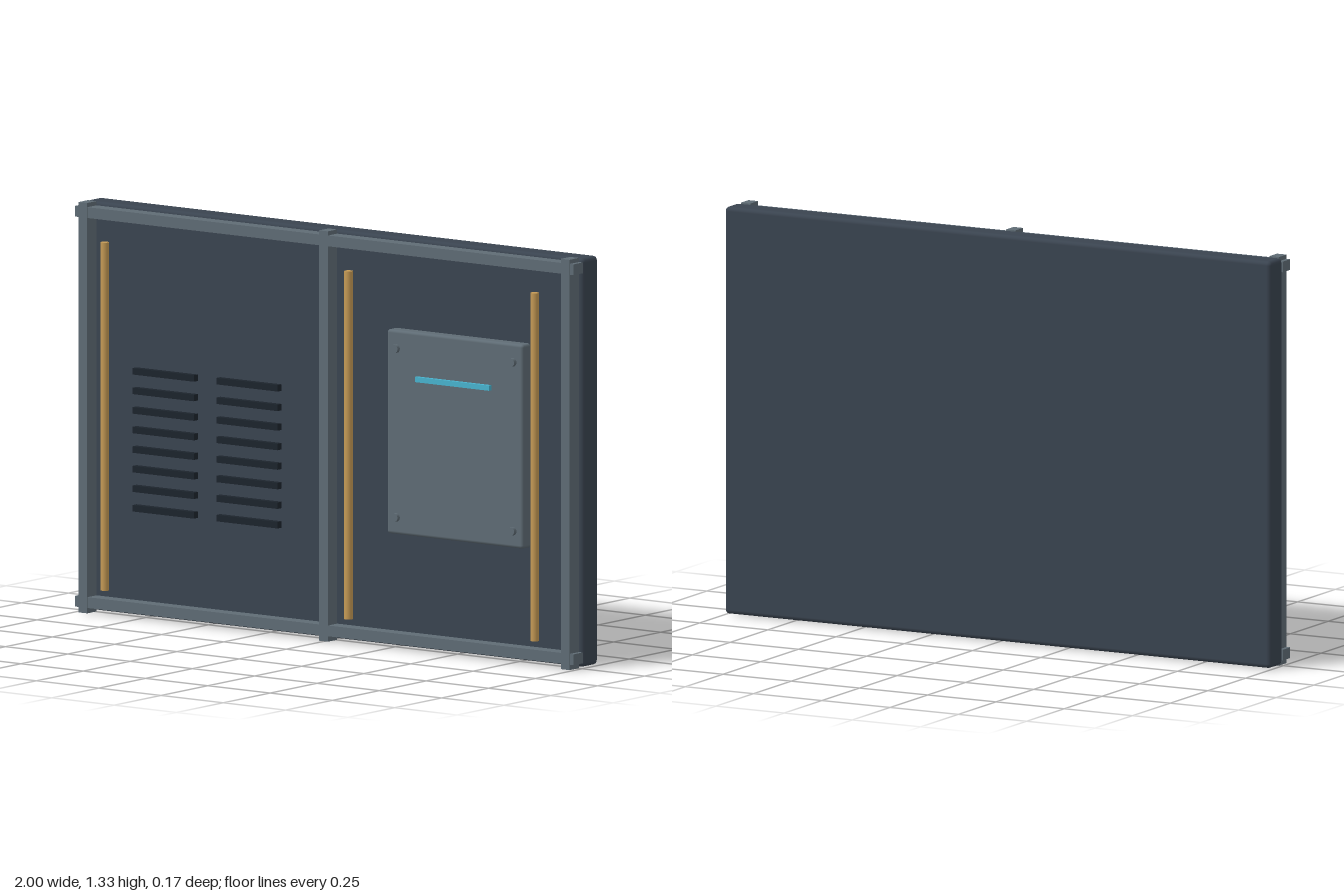
import * as THREE from 'three';
import { RoundedBoxGeometry } from 'three/addons/geometries/RoundedBoxGeometry.js';

const material = (name, color) => {
  const m = new THREE.MeshStandardMaterial({ color });
  m.name = name;
  return m;
};

export function createModel() {
  const panelNavy = material('panel navy', 0x3a4450);
  const frameGrey = material('frame grey', 0x5f6c75);
  const slotBlack = material('slot black', 0x1c242c);
  const rodAmber = material('rod amber', 0xc59a55);
  const lightCyan = material('light cyan', 0x48b4cf);

  const model = new THREE.Group();
  model.name = 'wallPanel';

  const add = (name, geometry, mat, x, y, z) => {
    const mesh = new THREE.Mesh(geometry, mat);
    mesh.name = name;
    mesh.position.set(x, y, z);
    model.add(mesh);
    return mesh;
  };
  const box = (w, h, d) => new THREE.BoxGeometry(w, h, d);

  // Backing slab with softened edges
  add('backPanel', new RoundedBoxGeometry(2, 1.327, 0.084, 2, 0.014), panelNavy, 0, 0.667, -0.045);

  // Frame: posts and rails crossing at the corners
  for (const x of [-0.969, -0.003, 0.967]) {
    add('framePost', box(0.035, 1.332, 0.05), frameGrey, x, 0.666, 0.022);
  }
  for (const y of [0.035, 1.301]) {
    add('frameRail', box(2, 0.035, 0.049), frameGrey, 0, y, 0.0215);
  }

  // Upright rods standing in front of the frame
  for (const x of [-0.861, 0.117, 0.864]) {
    add('rod', new THREE.CylinderGeometry(0.014, 0.014, 1.13, 16), rodAmber, x, 0.652, 0.073);
  }

  // Two columns of vent slots
  for (const x of [-0.668, -0.332]) {
    for (let i = 0; i < 8; i++) {
      add('ventSlot', box(0.246, 0.021, 0.026), slotBlack, x, 0.353 + i * 0.0635, 0.005);
    }
  }

  // Access cover with corner bolts and a light strip
  add('accessCover', new RoundedBoxGeometry(0.546, 0.663, 0.05, 2, 0.01), frameGrey, 0.516, 0.704, 0.012);
  for (const x of [0.282, 0.75]) {
    for (const y of [0.428, 0.976]) {
      const bolt = add('coverBolt', new THREE.CylinderGeometry(0.014, 0.014, 0.02, 16), frameGrey, x, y, 0.04);
      bolt.rotation.x = Math.PI / 2;
    }
  }
  add('lightStrip', box(0.297, 0.017, 0.02), lightCyan, 0.515, 0.885, 0.04);

  return model;
}
